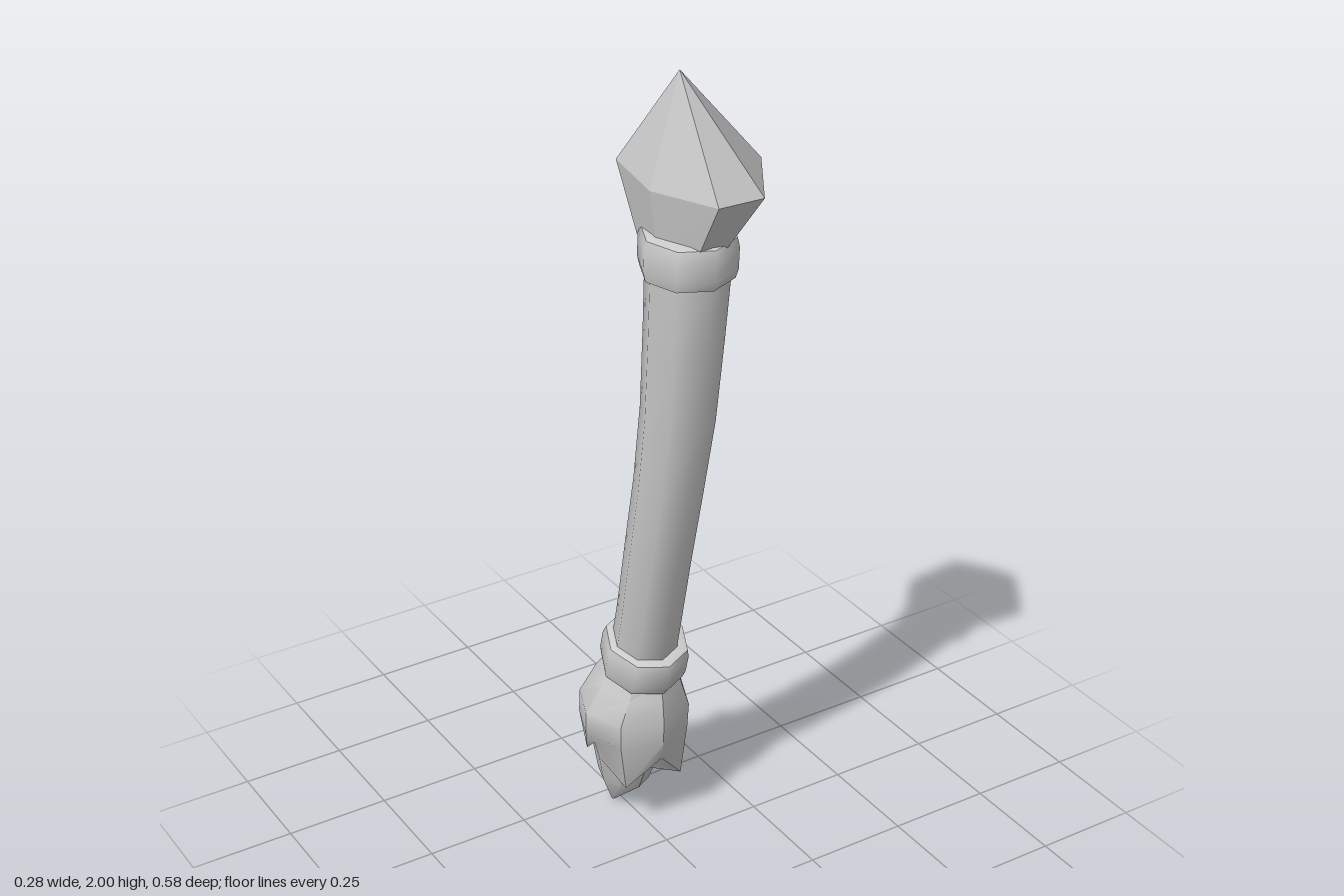
import * as THREE from 'three';
import { toCreasedNormals } from 'three/addons/utils/BufferGeometryUtils.js';

const SIDES = 8;

// Skin closed rings of points from top to bottom, with fan caps at both ends.
function skin(rings, crease) {
  const n = rings[0].length;
  const pos = [], index = [];
  const centre = (ring) => ring.reduce((s, p) => s.map((v, i) => v + p[i] / n), [0, 0, 0]);
  rings.forEach((ring) => ring.forEach((p) => pos.push(...p)));
  const top = rings.length * n, bottom = top + 1, last = (rings.length - 1) * n;
  pos.push(...centre(rings[0]), ...centre(rings[rings.length - 1]));
  for (let j = 0; j < n; j++) {
    const k = (j + 1) % n;
    index.push(top, k, j, bottom, last + j, last + k);
    for (let i = 0; i < rings.length - 1; i++) {
      const a = i * n + j, b = i * n + k;
      index.push(a, b, b + n, a, b + n, a + n);
    }
  }
  const g = new THREE.BufferGeometry();
  g.setAttribute('position', new THREE.Float32BufferAttribute(pos, 3));
  g.setIndex(index);
  return toCreasedNormals(g, crease);
}

// One ring around a centre, leaning along the slope; drop gives a height offset per corner.
function ring(x, y, z, rx, rz = rx, slope = 0, drop = null) {
  return Array.from({ length: SIDES }, (_, k) => {
    const a = (k / SIDES) * Math.PI * 2;
    const dx = Math.cos(a) * rx, dz = Math.sin(a) * rz;
    return [x + dx, y - slope * dz + (drop ? drop[k] : 0), z + dz];
  });
}

// Rounded band around the shaft
function collar(x, y, z, r, h, slope) {
  const profile = [[0.5, 0.82], [0.46, 0.95], [0.25, 1], [-0.25, 1], [-0.46, 0.95], [-0.5, 0.82]];
  return skin(profile.map(([t, s]) => ring(x, y + t * h, z + t * h * slope, r * s, r * s, slope)), 1.0);
}

export function createModel() {
  const group = new THREE.Group();
  const grey = new THREE.MeshStandardMaterial({ color: 0xcccccc });
  grey.name = 'plain grey';
  const add = (name, geometry) => {
    const mesh = new THREE.Mesh(geometry, grey);
    mesh.name = name;
    group.add(mesh);
  };

  // Faceted crystal: apex, irregular six-sided girdle, narrow foot
  const girdle = [
    [0.141, 1.765, 0.14], [0.047, 1.75, 0.293], [-0.06, 1.75, 0.29],
    [-0.134, 1.755, 0.15], [-0.125, 1.772, 0.005], [0.04, 1.775, -0.012],
  ];
  const apex = girdle.map(([x, , z]) => [-0.068 + x * 0.001, 2, 0.157 + z * 0.001]);
  const foot = girdle.map(([x, , z]) => [-0.03 + x * 0.6, 1.62, 0.133 + (z - 0.14) * 0.6]);
  add('crystal', skin([apex, girdle, foot], 0.15));

  // Curved shaft
  const path = [
    [-0.032, 1.6, 0.137, 0.093, 0.1], [-0.03, 1.4, 0.115, 0.088, 0.12],
    [-0.027, 1.2, 0.088, 0.083, 0.18], [-0.026, 1.0, 0.048, 0.078, 0.23],
    [-0.024, 0.8, 0.0, 0.076, 0.27], [-0.014, 0.62, -0.052, 0.075, 0.3],
    [-0.006, 0.46, -0.1, 0.076, 0.3],
  ];
  add('shaft', skin(path.map(([x, y, z, r, s]) => ring(x, y, z, r, r, s)), 1.0));

  add('upperCollar', collar(-0.035, 1.597, 0.139, 0.107, 0.1, 0.06));
  add('lowerCollar', collar(-0.005, 0.488, -0.09, 0.102, 0.095, 0.28));

  // Bulb with a ragged hem and a pointed core
  const hem = [0, -0.07, 0.02, -0.06, 0.03, -0.05, -0.02, -0.04];
  add('bulb', skin([
    ring(-0.002, 0.46, -0.1, 0.08, 0.08, 0.28),
    ring(-0.003, 0.41, -0.118, 0.102, 0.106, 0.15),
    ring(-0.005, 0.335, -0.137, 0.132, 0.134),
    ring(-0.003, 0.27, -0.146, 0.13, 0.136),
    ring(0.004, 0.2, -0.156, 0.108, 0.128, 0, hem),
    ring(-0.005, 0.165, -0.178, 0.074, 0.095),
    ring(-0.008, 0.09, -0.185, 0.056, 0.073),
    ring(-0.02, 0.001, -0.213, 0.004),
  ], 0.75));

  return group;
}
